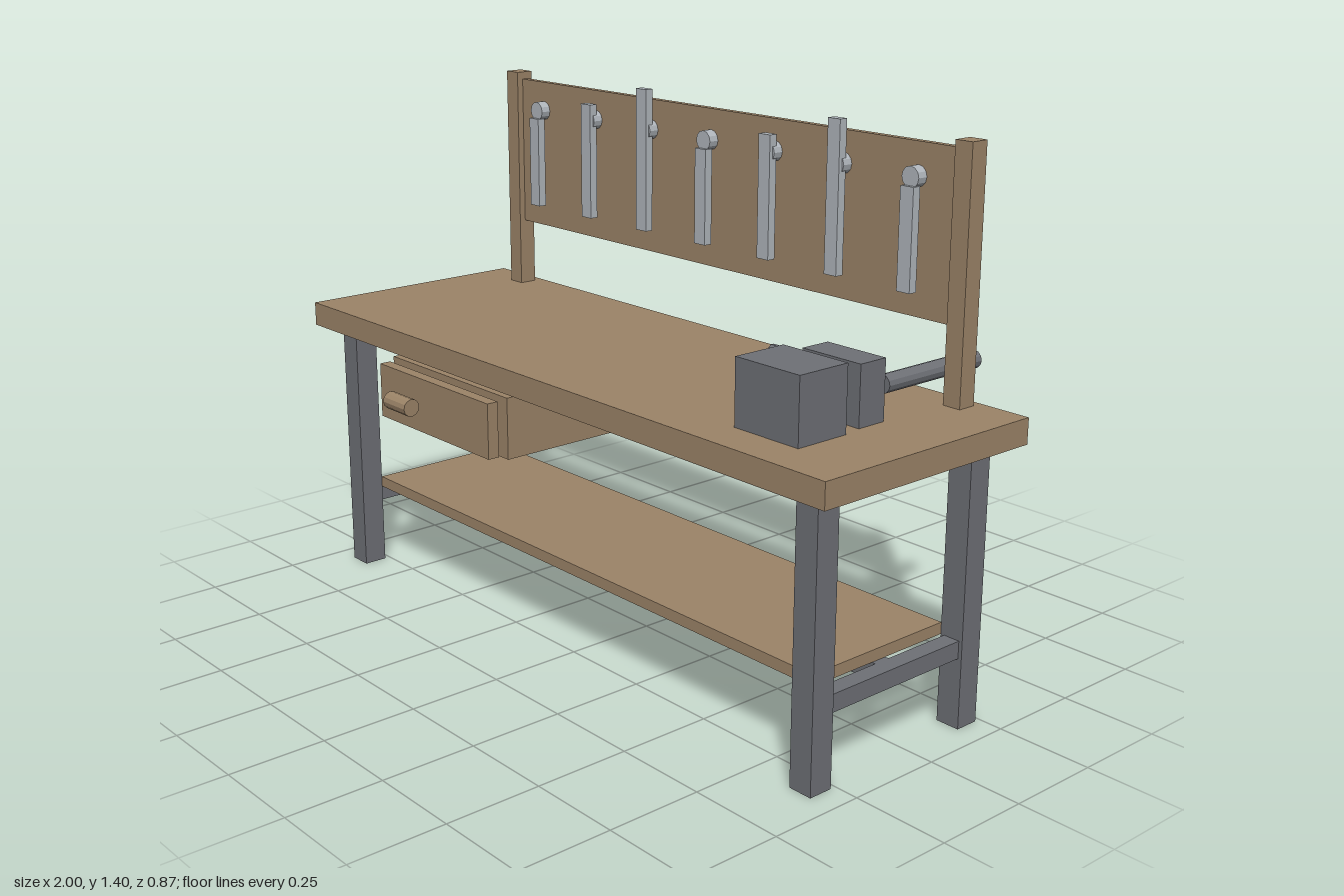
import * as THREE from 'three';

const wood = new THREE.MeshStandardMaterial({ color: 0x9c8468, flatShading: true });
const steel = new THREE.MeshStandardMaterial({ color: 0x6e7076, flatShading: true });
const toolSteel = new THREE.MeshStandardMaterial({ color: 0xb0b6bc, flatShading: true });

export function createModel() {
  const bench = new THREE.Group();
  bench.name = 'workbench';

  // Box given by its lower and upper limits on each axis
  function box(name, material, [x0, x1], [y0, y1], [z0, z1]) {
    const mesh = new THREE.Mesh(new THREE.BoxGeometry(x1 - x0, y1 - y0, z1 - z0), material);
    mesh.position.set((x0 + x1) / 2, (y0 + y1) / 2, (z0 + z1) / 2);
    mesh.name = name;
    bench.add(mesh);
  }

  // Cylinder centred at a point and lying along the x or z axis
  function rod(name, material, axis, radius, length, sides, x, y, z) {
    const geometry = new THREE.CylinderGeometry(radius, radius, length, sides);
    if (axis === 'x') geometry.rotateZ(Math.PI / 2);
    else geometry.rotateX(Math.PI / 2);
    const mesh = new THREE.Mesh(geometry, material);
    mesh.position.set(x, y, z);
    mesh.name = name;
    bench.add(mesh);
  }

  // Mirrored x range for the left (+1) or right (-1) side
  const sideRange = (s, a, b) => (s > 0 ? [a, b] : [-b, -a]);

  box('tabletop', wood, [-1, 1], [0.705, 0.77], [-0.285, 0.38]);

  // Legs, side rails and back posts
  for (const s of [1, -1]) {
    box('frontLeg', steel, sideRange(s, 0.87, 0.935), [0, 0.705], [0.265, 0.33]);
    box('backLeg', steel, sideRange(s, 0.87, 0.935), [0, 0.705], [-0.235, -0.17]);
    box('sideRail', steel, sideRange(s, 0.88, 0.925), [0.18, 0.225], [-0.17, 0.265]);
    box('backPost', wood, sideRange(s, 0.81, 0.86), [0.77, 1.39], [-0.26, -0.21]);
  }

  // Lower shelf on its centre stretcher
  box('centreStretcher', steel, [-0.88, 0.88], [0.18, 0.225], [0.025, 0.07]);
  box('shelf', wood, [-0.87, 0.87], [0.225, 0.255], [-0.17, 0.265]);

  // Drawer
  box('drawerBody', wood, [-0.68, -0.16], [0.505, 0.67], [-0.23, 0.33]);
  box('drawerFront', wood, [-0.667, -0.173], [0.513, 0.662], [0.35, 0.382]);
  rod('drawerHandle', wood, 'x', 0.024, 0.1, 12, -0.52, 0.588, 0.415);

  // Tool board with a row of hanging tools in three lengths
  box('toolBoard', wood, [-0.81, 0.81], [0.957, 1.37], [-0.247, -0.228]);
  const toolTops = [1.27, 1.335, 1.4];
  for (let i = 0; i < 7; i++) {
    const x = -0.71 + i * 0.2335;
    box('tool', toolSteel, [x - 0.02, x + 0.02], [1.02, toolTops[i % 3]], [-0.213, -0.19]);
    rod('toolPeg', toolSteel, 'z', 0.026, 0.03, 12, x, 1.29, -0.215);
  }

  // Vise
  box('viseFrontJaw', steel, [0.615, 0.815], [0.77, 0.935], [0.122, 0.272]);
  box('viseBackJaw', steel, [0.625, 0.805], [0.77, 0.92], [-0.012, 0.07]);
  rod('viseScrew', steel, 'z', 0.023, 0.33, 12, 0.715, 0.82, -0.27);
  rod('viseHandle', steel, 'x', 0.015, 0.245, 10, 0.457, 0.82, -0.122);

  return bench;
}
